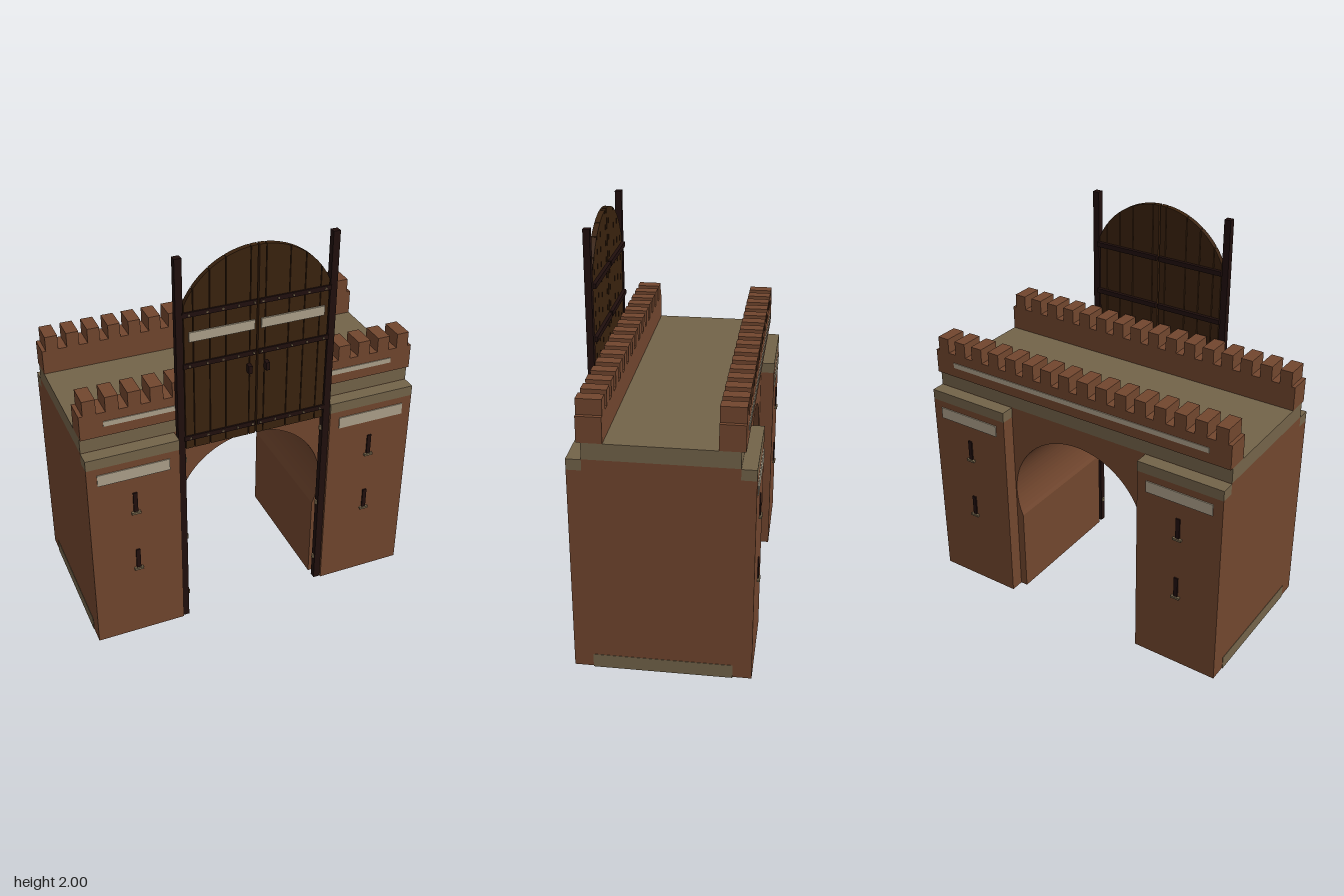
import * as THREE from 'three';

const paint = (name, color) => {
  const m = new THREE.MeshStandardMaterial({ color });
  m.name = name;
  return m;
};

export function createModel() {
  const brick = paint('brick', 0x71462e);
  const stone = paint('stone', 0x736349);
  const cream = paint('pale trim', 0xaca08a);
  const wood = paint('gate wood', 0x3a220e);
  const iron = paint('dark iron', 0x200f0d);

  const model = new THREE.Group();
  model.name = 'gatehouse';

  const add = (name, geometry, material) => {
    const mesh = new THREE.Mesh(geometry, material);
    mesh.name = name;
    model.add(mesh);
    return mesh;
  };
  // Box given by its limits on each axis
  const box = (name, material, x0, x1, y0, y1, z0, z1) => {
    const mesh = add(name, new THREE.BoxGeometry(x1 - x0, y1 - y0, z1 - z0), material);
    mesh.position.set((x0 + x1) / 2, (y0 + y1) / 2, (z0 + z1) / 2);
    return mesh;
  };
  // The same box on the left (s = 1) or right (s = -1), front (f = 1) or back (f = -1)
  const sideBox = (name, material, s, f, x0, x1, y0, y1, z0, z1) => box(name, material,
    Math.min(s * x0, s * x1), Math.max(s * x0, s * x1), y0, y1,
    Math.min(f * z0, f * z1), Math.max(f * z0, f * z1));

  // Main block with a horseshoe passage
  const R = 0.384, jamb = 0.352, centreY = 0.616, a = Math.acos(jamb / R);
  const wall = new THREE.Shape();
  wall.moveTo(0.84, 0.004);
  wall.lineTo(0.84, 1.1);
  wall.lineTo(-0.84, 1.1);
  wall.lineTo(-0.84, 0.004);
  wall.lineTo(-jamb, 0.004);
  wall.absarc(0, centreY, R, Math.PI + a, -a, true);
  wall.lineTo(jamb, 0.004);
  wall.closePath();
  add('archBlock', new THREE.ExtrudeGeometry(wall,
    { depth: 0.7, bevelEnabled: false, curveSegments: 32 }).translate(0, 0, -0.35), brick);

  // Roof slab
  box('roofSlab', stone, -0.84, 0.84, 1.1, 1.18, -0.35, 0.35);

  for (const f of [1, -1]) {
    // Parapet with battlements and pale strip
    sideBox('parapet', brick, 1, f, -0.84, 0.84, 1.18, 1.305, 0.253, 0.37);
    for (let i = 0; i < 16; i++) {
      const x = (i - 7.5) * 0.1053;
      sideBox('merlon', brick, 1, f, x - 0.031, x + 0.031, 1.305, 1.38, 0.253, 0.37);
    }
    sideBox('parapetStrip', cream, 1, f, -0.73, 0.73, 1.232, 1.258, 0.369, 0.374);

    for (const s of [1, -1]) {
      // Piers with caps, plaques and arrow slits
      sideBox('pier', brick, s, f, 0.39, 0.84, 0.004, 1.045, 0.35, 0.42);
      sideBox('pierCap', stone, s, f, 0.39, 0.84, 1.045, 1.098, 0.35, 0.42);
      sideBox('plaque', cream, s, f, 0.44, 0.79, 0.95, 1.01, 0.419, 0.425);
      for (const y of [0.41, 0.75]) {
        sideBox('arrowSlit', iron, s, f, 0.605, 0.626, y, y + 0.115, 0.419, 0.427);
        sideBox('slitLedge', stone, s, f, 0.593, 0.638, y - 0.004, y + 0.007, 0.419, 0.434);
      }
    }
  }

  // Parts mirrored left and right
  const edges = [0.003, 0.038, 0.154, 0.231, 0.309, 0.354];
  const archTop = (x) => centreY + 1 + Math.sqrt(R * R - x * x);
  for (const s of [1, -1]) {
    sideBox('footing', stone, s, 1, 0.4, 0.842, 0, 0.07, -0.33, 0.33);
    sideBox('guidePost', iron, s, 1, 0.356, 0.39, 0, 2, 0.376, 0.408);

    // Hinge pins on the posts
    for (const y of [0.14, 0.5, 0.96]) {
      const pin = add('hingePin', new THREE.CylinderGeometry(0.009, 0.009, 0.022, 8), stone);
      pin.position.set(s * 0.354, y, 0.392);
    }

    // Gate planks cut to the arch
    for (let i = 0; i < 5; i++) {
      const x0 = edges[i] + 0.001, x1 = edges[i + 1] - 0.003;
      const plank = new THREE.Shape();
      plank.moveTo(s * x0, 1.03);
      plank.lineTo(s * x1, 1.03);
      for (let k = 0; k <= 6; k++) {
        const x = x1 + (x0 - x1) * k / 6;
        plank.lineTo(s * x, archTop(x));
      }
      plank.closePath();
      add('gatePlank', new THREE.ExtrudeGeometry(plank,
        { depth: 0.026, bevelEnabled: false }).translate(0, 0, 0.379), wood);
    }

    // Iron straps with studs, on both faces of the leaf
    for (const y of [1.09, 1.475, 1.73]) {
      sideBox('gateStrap', iron, s, 1, 0.006, 0.36, y - 0.012, y + 0.012, 0.404, 0.413);
      sideBox('rearStrap', iron, s, 1, 0.006, 0.36, y - 0.012, y + 0.012, 0.362, 0.38);
      for (const x of [0.02, 0.096, 0.17, 0.245, 0.33]) {
        sideBox('stud', stone, s, 1, x - 0.004, x + 0.004, y - 0.004, y + 0.004, 0.412, 0.417);
      }
    }
    sideBox('gatePlate', cream, s, 1, 0.016, 0.33, 1.595, 1.642, 0.404, 0.413);
    sideBox('gateHandle', iron, s, 1, 0.034, 0.052, 1.38, 1.42, 0.404, 0.434);
  }

  return model;
}
